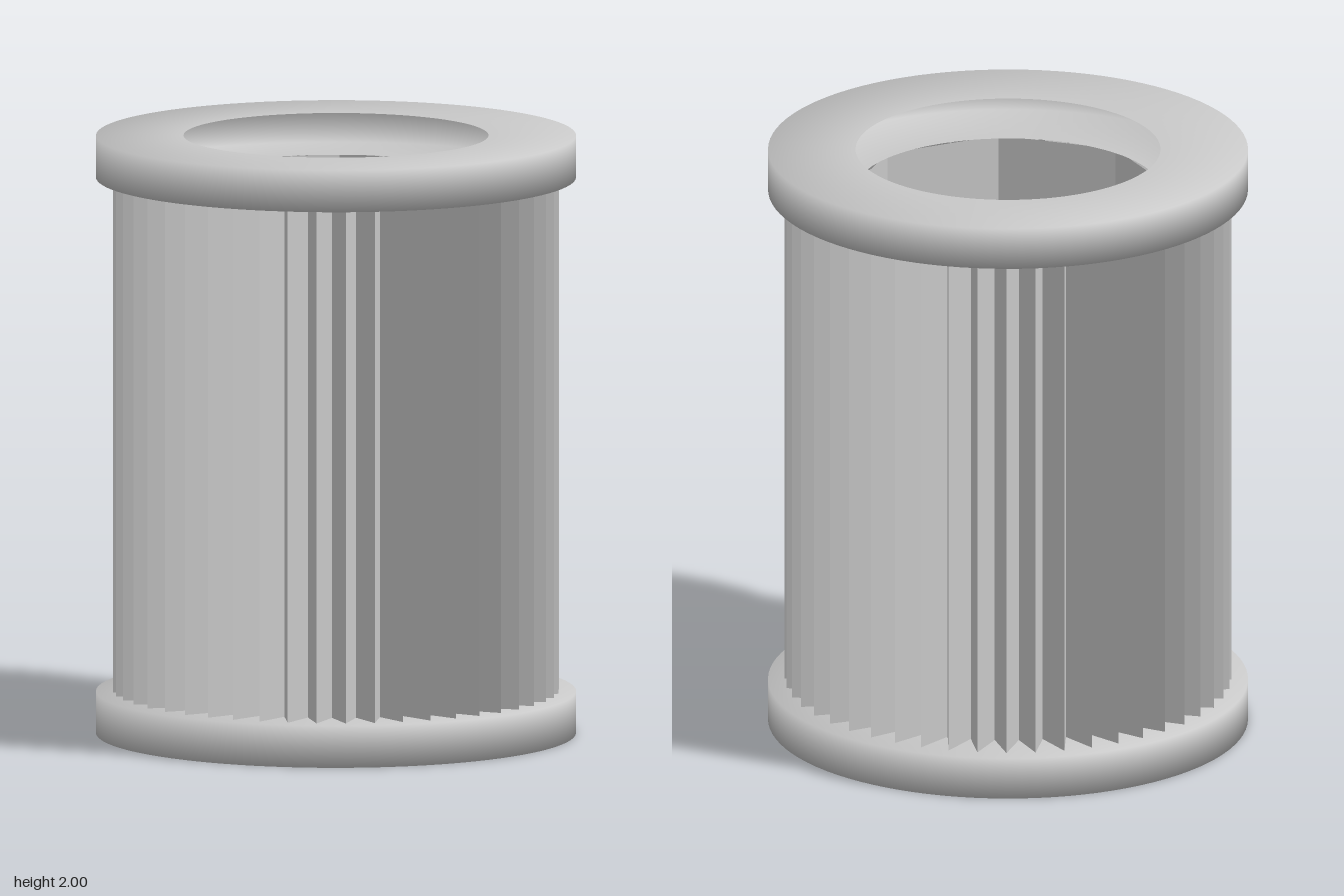
import * as THREE from 'three';

const CAP_HEIGHT = 0.14, HEIGHT = 2;
const PLEATS = 48, TIP_RADIUS = 0.74, VALLEY_RADIUS = 0.61;

// Open vertical wall that alternates between valley and tip radius
function pleatedWall() {
  const sides = PLEATS * 2;
  const geometry = new THREE.CylinderGeometry(1, 1, HEIGHT - 2 * CAP_HEIGHT, sides, 1, true);
  const position = geometry.attributes.position;
  for (let i = 0; i < position.count; i++) {
    const step = i % (sides + 1);
    const angle = (step / sides) * Math.PI * 2;
    const radius = step % 2 ? TIP_RADIUS : VALLEY_RADIUS;
    position.setX(i, Math.sin(angle) * radius);
    position.setZ(i, Math.cos(angle) * radius);
  }
  const flat = geometry.toNonIndexed();
  flat.computeVertexNormals();
  return flat;
}

// Channel-shaped ring, open towards the bore, softly shaded over the rim
function capRing() {
  const profile = [[0.505, 0], [0.795, 0], [0.795, CAP_HEIGHT], [0.505, CAP_HEIGHT]];
  return new THREE.LatheGeometry(profile.map(([r, y]) => new THREE.Vector2(r, y)), 96);
}

export function createModel() {
  const group = new THREE.Group();
  group.name = 'filterCartridge';

  const grey = new THREE.MeshStandardMaterial({ color: 0xc8c8c8, side: THREE.DoubleSide });
  grey.name = 'grey';

  const add = (name, geometry, y) => {
    const mesh = new THREE.Mesh(geometry, grey);
    mesh.name = name;
    mesh.position.y = y;
    group.add(mesh);
  };

  // End caps
  const cap = capRing();
  add('bottomCap', cap, 0);
  add('topCap', cap, HEIGHT - CAP_HEIGHT);

  // Pleated filter wall
  add('pleats', pleatedWall(), HEIGHT / 2);

  // Eight-sided inner core, open at both ends
  const core = new THREE.CylinderGeometry(0.535, 0.535, HEIGHT - 2 * CAP_HEIGHT, 8, 1, true).toNonIndexed();
  core.computeVertexNormals();
  add('innerCore', core, HEIGHT / 2);

  return group;
}
